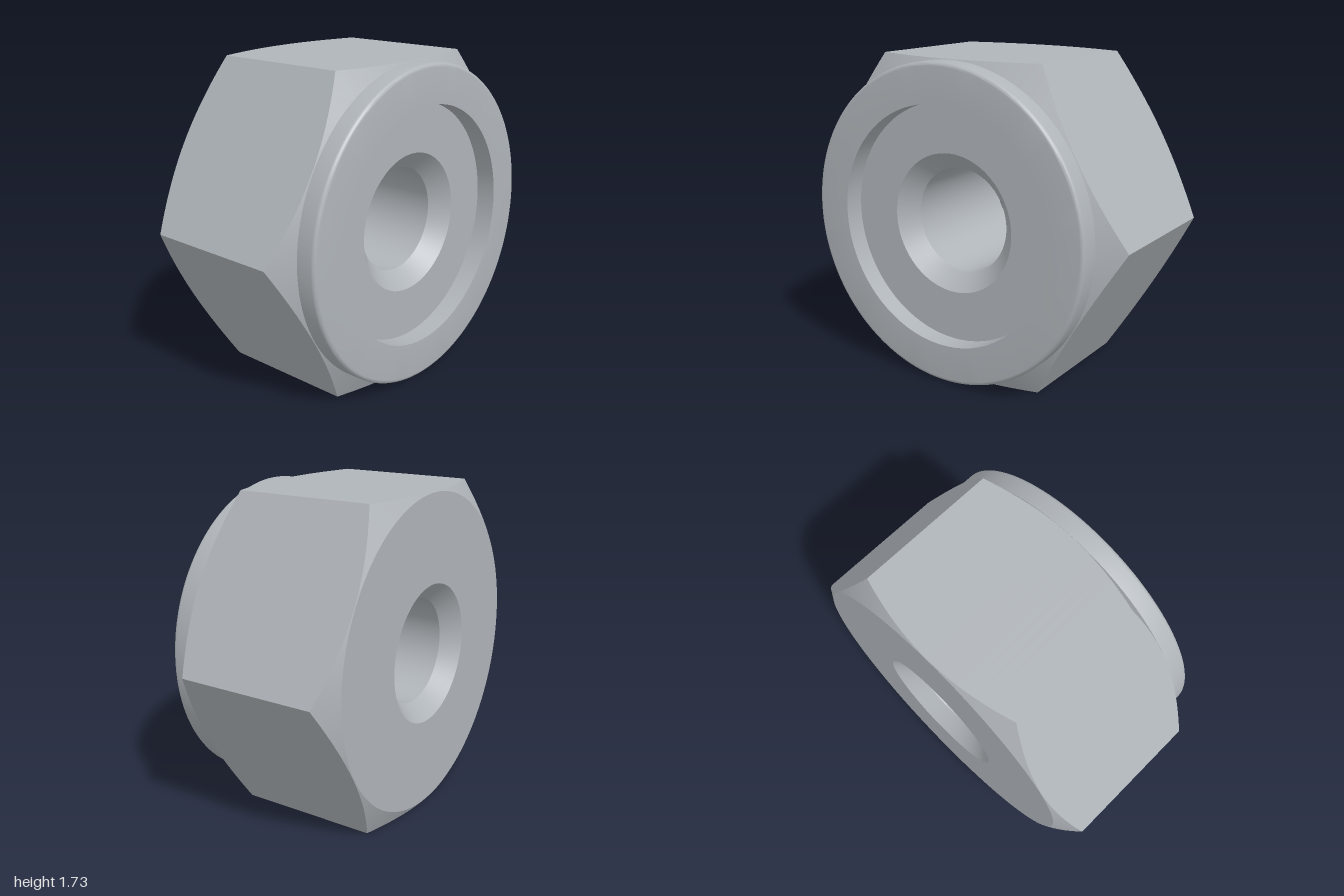
import * as THREE from 'three';
import { toCreasedNormals } from 'three/addons/utils/BufferGeometryUtils.js';

const APOTHEM = Math.sqrt(3) / 2;   // half the distance across flats
const RIM = 0.862;                  // where the corner chamfers begin
const BACK = -0.52, SEAT = 0.41, FRONT = 0.52;
const BORE = 0.287, SINK = 0.38;    // bore and countersink radii
const SEGMENTS = 120;

// Lathe a profile of [radius, z] pairs around the z axis
function turned(profile, shape) {
  const points = profile.map(([r, z]) => new THREE.Vector2(r, z));
  const geometry = new THREE.LatheGeometry(points, SEGMENTS);
  geometry.rotateX(Math.PI / 2);
  if (shape) shape(geometry.attributes.position);
  return toCreasedNormals(geometry, 0.4);
}

// Push the outer wall out to a hexagon; its ends follow the 30 degree chamfer cones
function hexagonWall(position) {
  const sector = Math.PI / 3;
  const slope = Math.tan(Math.PI / 6);
  for (let i = 0; i < position.count; i++) {
    const x = position.getX(i), y = position.getY(i), z = position.getZ(i);
    const r = Math.hypot(x, y);
    if (r < 0.95) continue;
    const angle = Math.atan2(y, x) + Math.PI * 2;
    const radius = APOTHEM / Math.cos((angle % sector) - sector / 2);
    const drop = (radius - RIM) * slope;
    position.setXYZ(i, x / r * radius, y / r * radius, z < 0 ? BACK + drop : SEAT - drop);
  }
}

export function createModel() {
  const model = new THREE.Group();
  model.name = 'hexNut';
  const steel = new THREE.MeshStandardMaterial({ color: 0xb0b5ba });
  steel.name = 'steel grey';

  const add = (name, geometry) => {
    const mesh = new THREE.Mesh(geometry, steel);
    mesh.name = name;
    mesh.position.y = APOTHEM;
    model.add(mesh);
  };

  // Hexagonal body: back face, chamfer, flats, chamfer, recess floor
  add('hexBody', turned([
    [SINK, BACK], [RIM, BACK], [1, BACK], [1, SEAT], [RIM, SEAT], [SINK, SEAT],
  ], hexagonWall));

  // Round collar with a filleted outer edge and an open recess
  const fillet = 0.022;
  const collar = [[RIM, SEAT]];
  for (let i = 0; i <= 5; i++) {
    const a = i / 5 * Math.PI / 2;
    collar.push([RIM - fillet + fillet * Math.cos(a), FRONT - fillet + fillet * Math.sin(a)]);
  }
  collar.push([0.65, FRONT], [0.65, SEAT]);
  add('collar', turned(collar));

  // Through bore, countersunk at both ends
  const depth = SINK - BORE;
  add('bore', turned([
    [SINK, SEAT], [BORE, SEAT - depth], [BORE, BACK + depth], [SINK, BACK],
  ]));

  return model;
}
